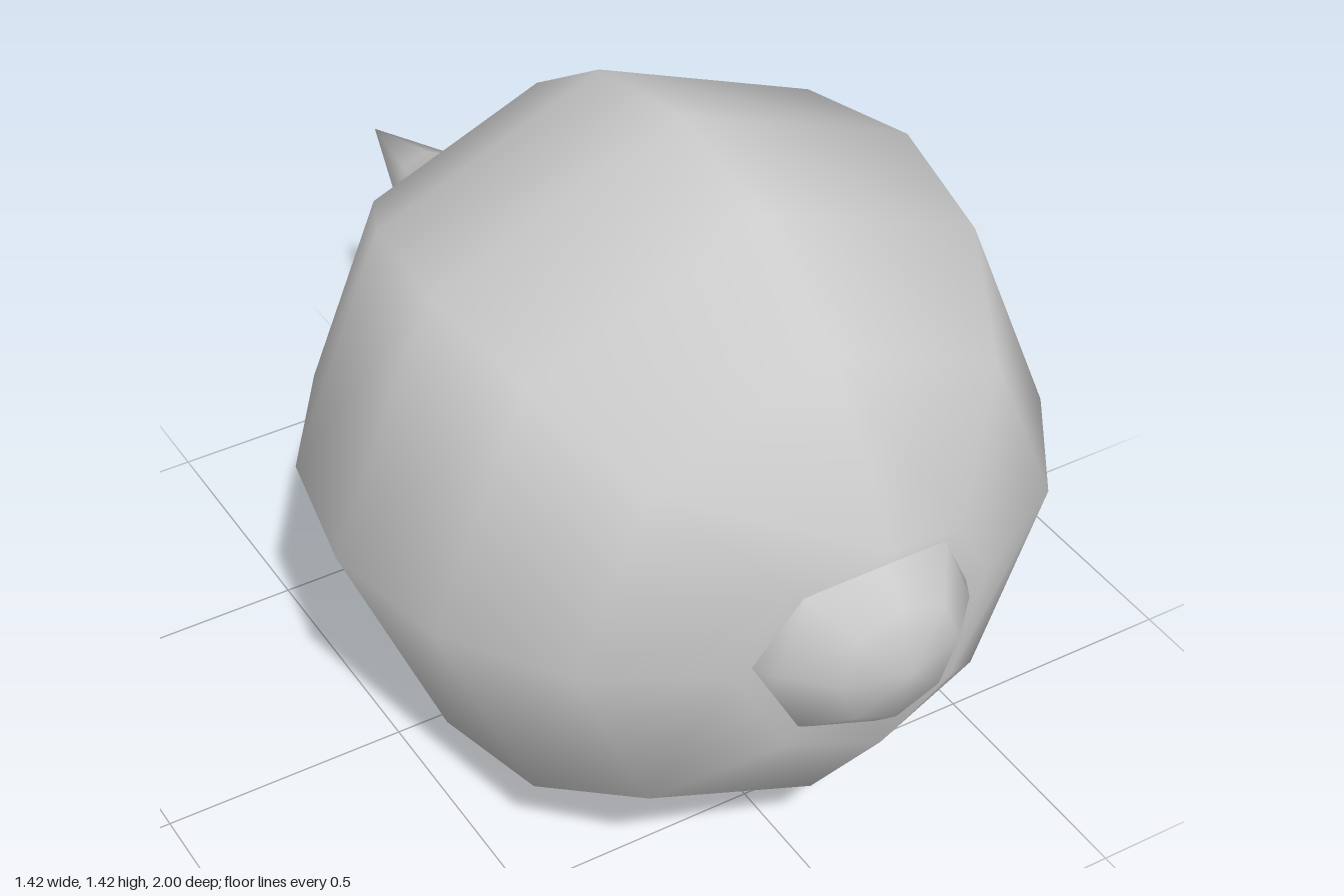
import * as THREE from 'three';
import { mergeVertices } from 'three/addons/utils/BufferGeometryUtils.js';

const SIDES = 8;
const AXIS_Y = 0.712;

// Turn [radius, z] pairs (back to front) around the z axis, welded for smooth shading.
function turned(profile, adjust) {
  const lathe = new THREE.LatheGeometry(profile.map(([r, z]) => new THREE.Vector2(r, z)), SIDES);
  lathe.rotateX(Math.PI / 2);
  lathe.deleteAttribute('normal');
  lathe.deleteAttribute('uv');
  const geometry = mergeVertices(lathe, 1e-4);
  if (adjust) adjust(geometry.attributes.position);
  geometry.computeVertexNormals();
  return geometry;
}

export function createModel() {
  const group = new THREE.Group();
  const material = new THREE.MeshStandardMaterial({ color: 0xcccccc });

  const add = (name, geometry) => {
    const mesh = new THREE.Mesh(geometry, material);
    mesh.name = name;
    mesh.position.y = AXIS_Y;
    group.add(mesh);
  };

  // Round body drawn out into a pointed tail, with a dished front
  const body = [
    [0, -1], [0.078, -0.76], [0.16, -0.585], [0.273, -0.437], [0.502, -0.285],
    [0.656, -0.053], [0.71, 0.22], [0.656, 0.49], [0.502, 0.72], [0.25, 0.88], [0, 0.83],
  ];
  add('bodyWithTail', turned(body, (p) => {
    // Front rim: raised at the top and bottom, drawn back at the sides
    for (let i = 0; i < p.count; i++) {
      if (Math.abs(p.getZ(i) - 0.88) > 0.01) continue;
      const x = p.getX(i), y = p.getY(i);
      const rise = (y * y) / (x * x + y * y);
      const radius = 0.27 - 0.05 * rise;
      p.setXYZ(i, (x / 0.25) * radius, (y / 0.25) * radius, 0.848 + 0.077 * rise);
    }
  }));

  // Small rounded nose set into the dish
  add('nose', turned([
    [0, 0.6], [0.13, 0.635], [0.21, 0.71], [0.25, 0.8], [0.205, 0.885], [0.125, 0.965], [0, 1],
  ]));

  return group;
}
